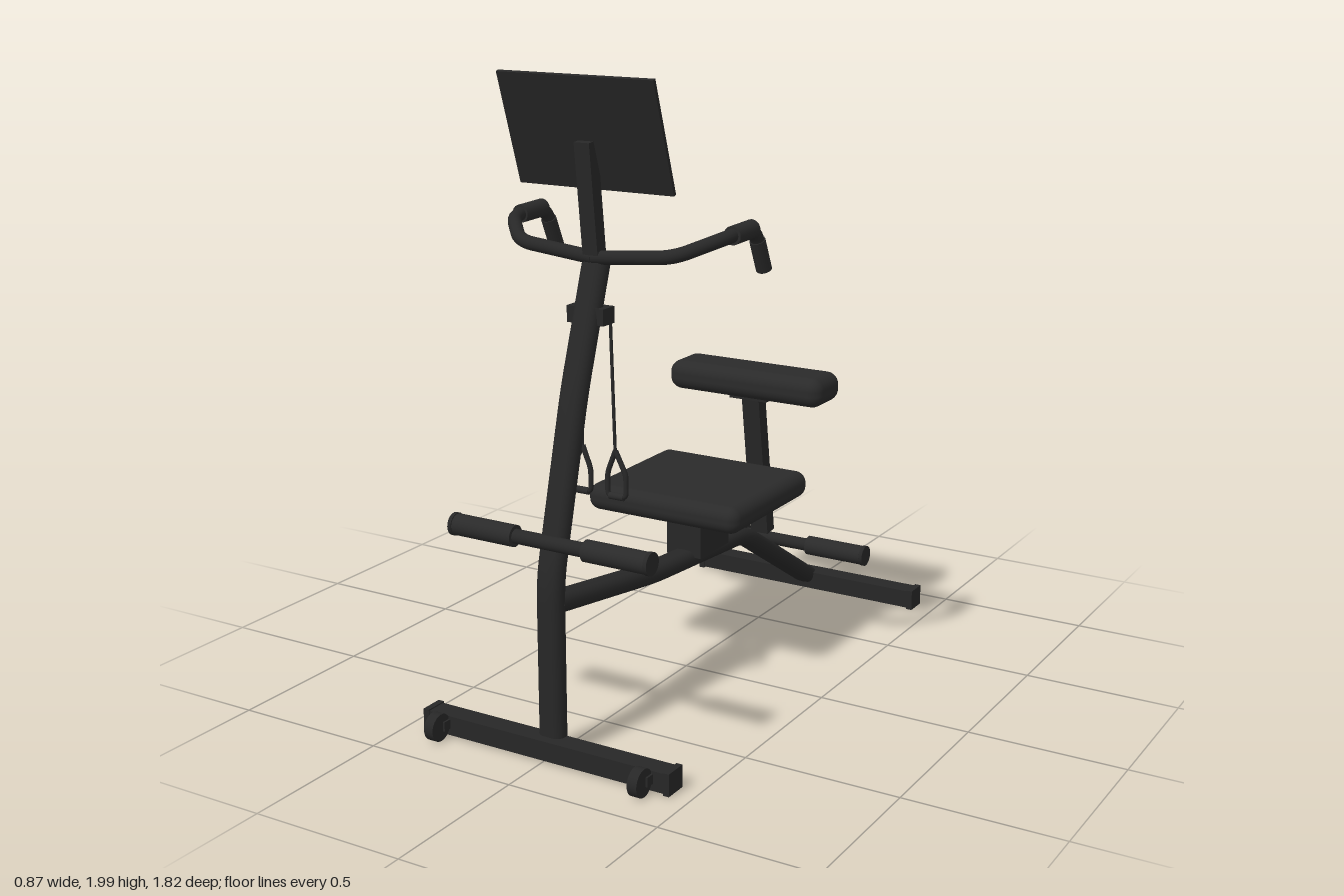
import * as THREE from 'three';
import { mergeGeometries } from 'three/addons/utils/BufferGeometryUtils.js';
import { RoundedBoxGeometry } from 'three/addons/geometries/RoundedBoxGeometry.js';

const flat = (name, color) => {
  const m = new THREE.MeshStandardMaterial({ color });
  m.name = name;
  return m;
};
const V = (x, y, z) => new THREE.Vector3(x, y, z);

// Straight runs joined by rounded bends
function bentPath(points, bend) {
  const path = new THREE.CurvePath();
  let from = points[0];
  for (let i = 1; i < points.length - 1; i++) {
    const p = points[i];
    const a = p.clone().add(points[i - 1].clone().sub(p).setLength(bend));
    const b = p.clone().add(points[i + 1].clone().sub(p).setLength(bend));
    path.add(new THREE.LineCurve3(from, a));
    path.add(new THREE.QuadraticBezierCurve3(a, p, b));
    from = b;
  }
  path.add(new THREE.LineCurve3(from, points[points.length - 1]));
  return path;
}

// Capped tube; "widen" pushes its two sides apart into a flat-oval section
function tube(points, r, bend = 0.05, widen = 0) {
  const path = bentPath(points, bend);
  const parts = [new THREE.TubeGeometry(path, points.length > 2 ? 72 : 1, r, 20, false)];
  for (const t of [0, 1]) {
    const cap = new THREE.CircleGeometry(r, 20);
    const dir = path.getTangentAt(t).multiplyScalar(t ? 1 : -1);
    cap.applyQuaternion(new THREE.Quaternion().setFromUnitVectors(V(0, 0, 1), dir));
    const p = path.getPointAt(t);
    parts.push(cap.translate(p.x, p.y, p.z));
  }
  const geo = mergeGeometries(parts);
  const pos = geo.attributes.position;
  for (let i = 0; i < pos.count; i++) {
    const x = pos.getX(i);
    if (Math.abs(x) > 1e-4) pos.setX(i, x + Math.sign(x) * widen);
  }
  return geo;
}

export function createModel() {
  const root = new THREE.Group();
  root.name = 'exerciseBench';
  const frame = flat('frameBlack', 0x272727);
  const padding = flat('paddingBlack', 0x2a2a2a);
  const greys = [flat('tileDarkGrey', 0x505050), flat('tileMidGrey', 0x787878), flat('tileLightGrey', 0xa0a0a0)];

  const add = (name, geo, mat, x = 0, y = 0, z = 0, parent = root) => {
    const m = new THREE.Mesh(geo, mat);
    m.name = name;
    m.position.set(x, y, z);
    parent.add(m);
    return m;
  };
  const box = (name, w, h, d, x, y, z, mat = frame) => add(name, new THREE.BoxGeometry(w, h, d), mat, x, y, z);
  const rod = (name, r, len, x, y, z, mat = frame) =>
    add(name, new THREE.CylinderGeometry(r, r, len, 24).rotateZ(Math.PI / 2), mat, x, y, z);

  // Base bars with end caps
  for (const [name, z] of [['frontBase', 0.797], ['rearBase', -0.873]]) {
    box(name, 0.85, 0.062, 0.068, 0, 0.043, z);
    for (const s of [-1, 1]) box(name + 'Cap', 0.02, 0.07, 0.075, s * 0.427, 0.043, z);
  }

  // Transport wheels
  for (const s of [-1, 1]) {
    rod('wheel', 0.043, 0.032, s * 0.36, 0.05, 0.868);
    box('wheelBracket', 0.045, 0.03, 0.04, s * 0.36, 0.05, 0.84);
  }

  // Upright post and long main beam
  add('uprightPost', tube([V(0, 0.05, 0.772), V(0, 0.56, 0.772), V(0, 1.09, 0.635), V(0, 1.465, 0.507)], 0.03, 0.07, 0.0135), frame);
  add('mainBeam', tube([V(0, 0.485, 0.765), V(0, 0.405, 0.23), V(0, 0.362, -0.36), V(0, 0.045, -0.875)], 0.03, 0.07, 0.0135), frame);

  // Seat
  add('seat', new RoundedBoxGeometry(0.555, 0.088, 0.5, 5, 0.038), padding, 0, 0.596, -0.08);
  box('seatPlate', 0.34, 0.015, 0.3, 0, 0.547, -0.08);
  box('seatSupport', 0.126, 0.15, 0.185, 0, 0.473, -0.075);

  // Back pad on its leaning post
  add('backPad', new RoundedBoxGeometry(0.58, 0.1, 0.18, 5, 0.042), padding, 0, 0.885, -0.448);
  box('backPadPlate', 0.14, 0.016, 0.08, 0, 0.831, -0.448);
  const backPost = box('backPost', 0.065, 0.505, 0.048, 0, 0.576, -0.486);
  backPost.rotation.x = 0.149;

  // Foot rollers: a thin rod with a foam sleeve on each side
  for (const [name, y, z] of [['frontRoller', 0.67, 0.77], ['rearRoller', 0.257, -0.637]]) {
    rod(name + 'Rod', 0.022, 0.66, 0, y, z);
    for (const s of [-1, 1]) {
      rod(name + 'Sleeve', 0.033, 0.21, s * 0.228, y, z, padding);
      rod(name + 'Cap', 0.035, 0.012, s * 0.34, y, z);
    }
  }

  // Handlebar, one bent half per side
  for (const s of [-1, 1]) {
    add('handlebar', tube([V(0, 1.468, 0.525), V(s * 0.265, 1.492, 0.52), V(s * 0.37, 1.54, 0.405),
      V(s * 0.37, 1.545, 0.235), V(s * 0.37, 1.413, 0.175)], 0.021, 0.05), frame);
    add('handGrip', tube([V(s * 0.37, 1.541, 0.368), V(s * 0.37, 1.544, 0.25)], 0.028), padding);
    add('endGrip', tube([V(s * 0.37, 1.505, 0.217), V(s * 0.37, 1.411, 0.174)], 0.024), padding);
  }

  // Pulley bracket, pull cords and stirrup handles
  box('cordBracket', 0.126, 0.05, 0.06, 0, 1.305, 0.545);
  for (const s of [-1, 1]) {
    add('pullCord', tube([V(s * 0.052, 1.3, 0.521), V(s * 0.058, 0.88, 0.51)], 0.005), frame);
    add('stirrup', tube([V(s * 0.058, 0.89, 0.509), V(s * 0.03, 0.82, 0.509), V(s * 0.03, 0.749, 0.509),
      V(s * 0.094, 0.749, 0.509), V(s * 0.094, 0.82, 0.509), V(s * 0.058, 0.89, 0.509)], 0.008, 0.016), frame);
    rod('stirrupGrip', 0.011, 0.05, s * 0.062, 0.749, 0.509, padding);
  }

  // Screen mast
  const mast = box('screenMast', 0.052, 0.34, 0.045, 0, 1.64, 0.54);
  mast.rotation.x = 0.115;

  // Tilted screen with six tiles facing the seat
  const screen = new THREE.Group();
  screen.name = 'screen';
  screen.position.set(0, 1.833, 0.56);
  screen.rotation.x = 0.317;
  root.add(screen);
  add('screenPanel', new THREE.BoxGeometry(0.526, 0.35, 0.012), frame, 0, 0, 0, screen);
  const bandH = 0.125 / 3;
  for (const x of [-0.167, 0, 0.167]) {
    for (const top of [0.113, -0.03]) {
      greys.forEach((mat, i) => add('screenTile', new THREE.PlaneGeometry(0.148, bandH).rotateY(Math.PI),
        mat, x, top - (i + 0.5) * bandH, -0.008, screen));
    }
  }
  return root;
}
